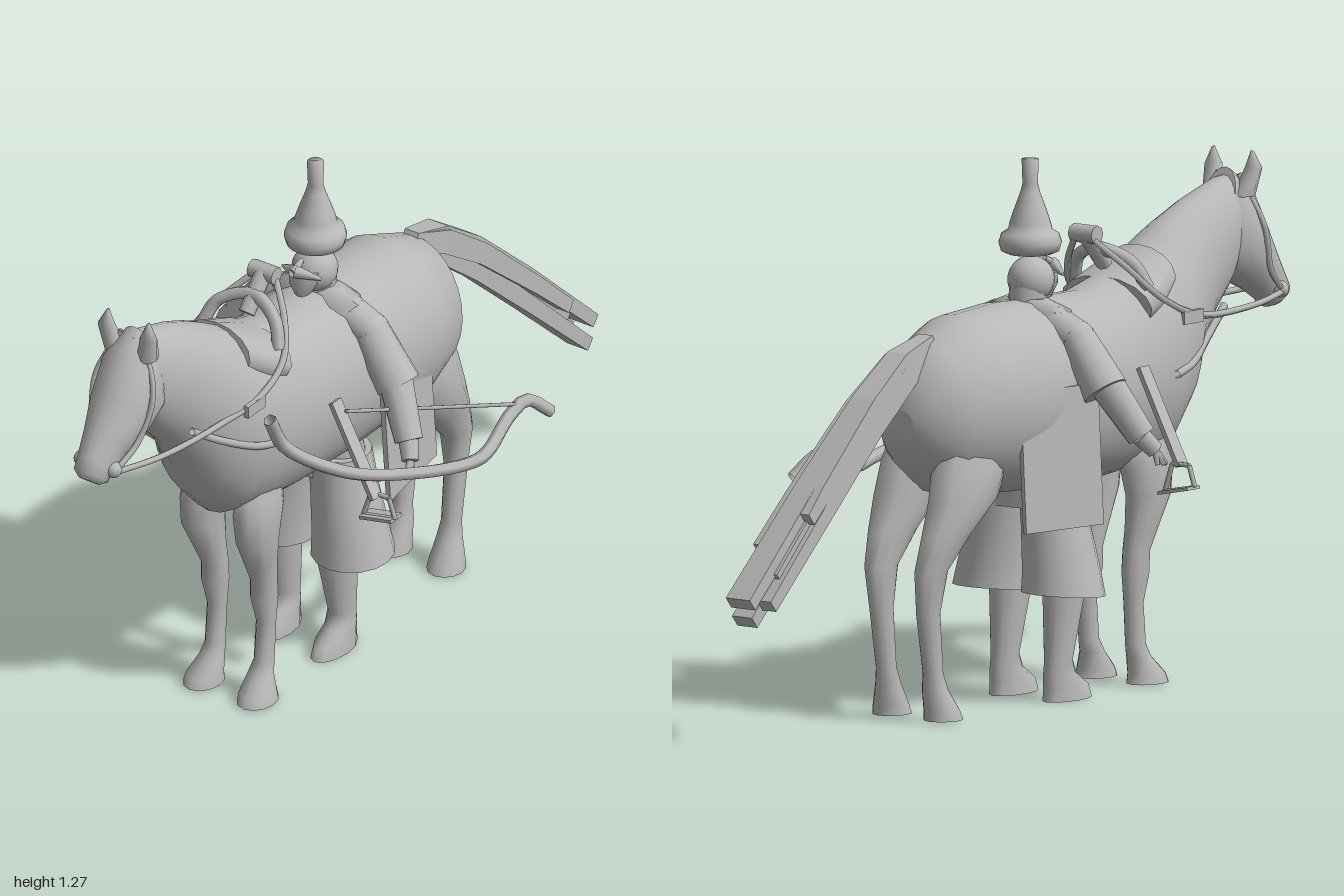
import * as THREE from 'three';

const V = (x, y, z) => new THREE.Vector3(x, y, z);

// Closed skin through cross-sections [z1, y1, z2, y2, halfWidth, x].
function loft(sections, n = 20, flat = false, openEnd = false) {
  const pos = [], idx = [];
  for (const [z1, y1, z2, y2, w, x = 0] of sections) {
    for (let j = 0; j < n; j++) {
      const a = ((j + (n === 4 ? 0.5 : 0)) / n) * Math.PI * 2, k = n === 4 ? Math.SQRT2 : 1;
      const c = Math.cos(a) * k / 2;
      pos.push(x + Math.sin(a) * w * k, (y1 + y2) / 2 + (y1 - y2) * c, (z1 + z2) / 2 + (z1 - z2) * c);
    }
  }
  for (let i = 0; i < sections.length - 1; i++) {
    for (let j = 0; j < n; j++) {
      const a = i * n + j, b = i * n + (j + 1) % n;
      idx.push(a, a + n, b, b, a + n, b + n);
    }
  }
  // End caps
  (openEnd ? [0] : [0, sections.length - 1]).forEach((r) => {
    const base = pos.length / 3;
    pos.push(...pos.slice(r * n * 3, (r + 1) * n * 3));
    for (let j = 1; j < n - 1; j++) {
      if (r === 0) idx.push(base, base + j, base + j + 1);
      else idx.push(base, base + j + 1, base + j);
    }
  });
  let g = new THREE.BufferGeometry();
  g.setAttribute('position', new THREE.Float32BufferAttribute(pos, 3));
  g.setIndex(idx);
  if (flat) g = g.toNonIndexed();
  g.computeVertexNormals();
  return g;
}

// Tapered round bar between two points.
function bar(a, b, ra, rb = ra, n = 12) {
  const d = b.clone().sub(a);
  const g = new THREE.CylinderGeometry(rb, ra, d.length(), n);
  g.applyQuaternion(new THREE.Quaternion().setFromUnitVectors(V(0, 1, 0), d.normalize()));
  const m = a.clone().add(b).multiplyScalar(0.5);
  return g.translate(m.x, m.y, m.z);
}

const tube = (pts, r) =>
  new THREE.TubeGeometry(new THREE.CatmullRomCurve3(pts.map((p) => V(...p))), 40, r, 6);

export function createModel() {
  const model = new THREE.Group();
  model.position.x = -0.02;
  const grey = new THREE.MeshStandardMaterial({ color: 0xb8b8b8, side: THREE.DoubleSide });
  grey.name = 'plain grey';
  const add = (name, g) => {
    const m = new THREE.Mesh(g, grey);
    m.name = name;
    model.add(m);
    return m;
  };

  // Horse body and neck, rump to poll
  add('horseBody', loft([
    [-0.395, 0.73, -0.39, 0.66, 0.03], [-0.38, 0.81, -0.365, 0.59, 0.09], [-0.32, 0.885, -0.3, 0.53, 0.145],
    [-0.2, 0.935, -0.2, 0.51, 0.18], [-0.05, 0.945, -0.05, 0.5, 0.185], [0.1, 0.94, 0.1, 0.495, 0.18],
    [0.25, 0.94, 0.28, 0.495, 0.165], [0.36, 0.97, 0.41, 0.505, 0.155], [0.44, 1.0, 0.495, 0.53, 0.148],
    [0.515, 1.045, 0.57, 0.61, 0.13], [0.57, 1.075, 0.605, 0.69, 0.108],
    [0.65, 1.11, 0.68, 0.8, 0.085], [0.76, 1.145, 0.75, 0.87, 0.07], [0.81, 1.15, 0.79, 0.93, 0.055],
  ], 28));
  add('horseHead', loft([
    [0.79, 1.165, 0.72, 1.0, 0.05], [0.845, 1.125, 0.74, 0.925, 0.08], [0.895, 1.035, 0.8, 0.895, 0.077],
    [0.945, 0.96, 0.865, 0.865, 0.055], [0.98, 0.905, 0.905, 0.84, 0.045], [0.998, 0.875, 0.93, 0.82, 0.042],
    [0.99, 0.85, 0.95, 0.82, 0.025],
  ]));

  for (const s of [-1, 1]) {
    // Horse legs and ears
    const leg = (rows) => loft(rows.map(([y, f, b, w, x = 0.07]) => [f, y, b, y, w, s * x]), 12);
    add('frontLeg', leg([
      [0.64, 0.45, 0.34, 0.03, 0.07], [0.56, 0.475, 0.32, 0.045, 0.07], [0.52, 0.483, 0.325, 0.048, 0.076],
      [0.45, 0.475, 0.345, 0.045, 0.078], [0.37, 0.435, 0.345, 0.036, 0.073],
      [0.32, 0.41, 0.34, 0.031], [0.27, 0.41, 0.335, 0.031], [0.2, 0.39, 0.34, 0.023], [0.1, 0.4, 0.345, 0.023],
      [0.07, 0.415, 0.355, 0.03], [0.03, 0.455, 0.355, 0.042, 0.076], [0.008, 0.465, 0.35, 0.045, 0.077],
    ]));
    add('hindLeg', leg([
      [0.72, -0.14, -0.3, 0.05, 0.07], [0.6, -0.13, -0.355, 0.068, 0.076], [0.52, -0.17, -0.375, 0.066, 0.082],
      [0.44, -0.26, -0.405, 0.048, 0.08], [0.36, -0.335, -0.43, 0.034, 0.075], [0.26, -0.355, -0.42, 0.026],
      [0.12, -0.345, -0.395, 0.024], [0.08, -0.33, -0.395, 0.03], [0.03, -0.3, -0.39, 0.042, 0.076],
      [0.008, -0.29, -0.39, 0.045, 0.077],
    ]));
    add('ear', loft([
      [0.82, 1.205, 0.81, 1.205, 0.002, s * 0.058], [0.835, 1.165, 0.8, 1.165, 0.023, s * 0.06],
      [0.83, 1.1, 0.77, 1.1, 0.025, s * 0.045],
    ], 8));

    // Bridle, reins and bit
    add('rein', tube([[s * 0.05, 0.86, 0.94], [s * 0.085, 0.85, 0.8], [s * 0.11, 0.85, 0.6],
      [s * 0.135, 0.875, 0.48], [s * 0.13, 0.925, 0.38], [s * 0.09, 0.99, 0.32], [s * 0.03, 1.055, 0.27]], 0.008));
    add('cheekStrap', tube([[s * 0.03, 1.15, 0.8], [s * 0.082, 1.03, 0.83], [s * 0.07, 0.92, 0.87],
      [s * 0.05, 0.86, 0.94]], 0.007));
    add('bit', new THREE.SphereGeometry(0.02, 10, 8).translate(s * 0.045, 0.865, 0.935));
    add('breastStrap', tube([[s * 0.085, 0.86, 0.68], [s * 0.108, 0.8, 0.59], [s * 0.14, 0.755, 0.5],
      [s * 0.156, 0.735, 0.42]], 0.01));
    const tag = add('strapTag', new THREE.BoxGeometry(0.012, 0.03, 0.07));
    tag.position.set(s * 0.136, 0.86, 0.5);

    // Stirrup leather and stirrup
    const strap = add('stirrupLeather', new THREE.BoxGeometry(0.012, 0.25, 0.035));
    strap.position.set(s * 0.246, 0.665, 0.255);
    strap.rotation.z = s * 0.49;
    const ring = [[0.285, 0.56], [0.335, 0.56], [0.352, 0.51], [0.262, 0.492]].map(([x, y]) => V(s * x, y, 0.245));
    ring.forEach((p, i) => add('stirrup', bar(p, ring[(i + 1) % 4], 0.006, 0.006, 6)));
    const tread = add('stirrupTread', new THREE.BoxGeometry(0.092, 0.008, 0.045));
    tread.position.set(s * 0.307, 0.5, 0.24);
    tread.rotation.z = s * 0.2;

    // Hanging side panel, its rear edge turned in
    const panel = add('sidePanel', new THREE.BoxGeometry(0.012, 0.33, 0.24));
    panel.position.set(s * 0.183, 0.595, -0.04);
    panel.rotation.set(0, s * 0.16, s * 0.06);

    // Rider's boot
    add('boot', loft([
      [0.155, 0.3, 0.035, 0.3, 0.045, s * 0.08], [0.15, 0.24, 0.04, 0.24, 0.045, s * 0.08],
      [0.115, 0.1, 0.04, 0.1, 0.032, s * 0.08], [0.13, 0.065, 0.035, 0.065, 0.033, s * 0.08],
      [0.175, 0.035, 0.035, 0.035, 0.037, s * 0.08], [0.187, 0.004, 0.033, 0.004, 0.039, s * 0.08],
    ], 12));

    // Rider's arm: shoulder, flared sleeve, hand and fingers
    const P = [V(s * 0.08, 0.89, 0.06), V(s * 0.15, 0.86, 0.06), V(s * 0.232, 0.745, 0.065),
      V(s * 0.298, 0.64, 0.115), V(s * 0.32, 0.605, 0.14)];
    add('shoulder', bar(P[0], P[1], 0.045, 0.045));
    add('shoulderCap', new THREE.SphereGeometry(0.045, 14, 10).translate(...P[1].toArray()));
    add('upperSleeve', bar(P[1], P[2], 0.045, 0.054));
    add('foreSleeve', bar(P[2].clone().add(V(-s * 0.015, 0.035, 0)), P[3], 0.043, 0.034));
    add('hand', bar(P[3], P[4], 0.024, 0.02, 8));
    for (const k of [-1, 0, 1]) {
      add('finger', bar(P[4], V(s * (0.333 - 0.006 * Math.abs(k)), 0.572, 0.155 + k * 0.016), 0.009, 0.006, 6));
    }
    add('moustache', bar(V(0, 1.012, 0.155), V(s * 0.055, 0.995, 0.125), 0.016, 0.004, 8));
  }

  // Rider's coat, skirt split in two over the legs
  add('coat', loft([
    [0.09, 0.945, 0.03, 0.945, 0.06], [0.13, 0.92, 0, 0.92, 0.12], [0.15, 0.75, -0.02, 0.75, 0.13],
    [0.14, 0.55, -0.01, 0.55, 0.12], [0.14, 0.46, -0.01, 0.46, 0.14],
  ]));
  for (const s of [-1, 1]) {
    add('coatSkirt', loft([
      [0.14, 0.52, -0.01, 0.52, 0.075, s * 0.065], [0.15, 0.42, -0.015, 0.42, 0.08, s * 0.08],
      [0.16, 0.31, -0.025, 0.31, 0.092, s * 0.098], [0.165, 0.25, -0.03, 0.265, 0.1, s * 0.103],
    ], 16, false, true));
  }

  // Rider's head and pointed helmet
  add('neck', bar(V(0, 0.9, 0.06), V(0, 0.97, 0.065), 0.045));
  add('head', new THREE.SphereGeometry(0.055, 18, 14).translate(0, 0.985, 0.075));
  add('nose', bar(V(0, 1.03, 0.125), V(0, 1.01, 0.16), 0.006, 0.012, 8));
  add('beard', loft([[0.15, 1.0, 0.08, 1.0, 0.04], [0.155, 0.97, 0.08, 0.97, 0.036],
    [0.14, 0.93, 0.1, 0.93, 0.01]], 10));
  const helmet = [[0, 1.045], [0.05, 1.045], [0.068, 1.053], [0.074, 1.073], [0.068, 1.093], [0.052, 1.103],
    [0.048, 1.12], [0.038, 1.15], [0.023, 1.19], [0.018, 1.21], [0.02, 1.268], [0, 1.27]];
  add('helmet', new THREE.LatheGeometry(helmet.map((p) => new THREE.Vector2(...p)), 24)).position.z = 0.072;

  // Saddle front: pad over the withers, arched bow and horn
  add('saddlePad', loft([[0.335, 0.962, 0.37, 0.83, 0.135], [0.4, 0.99, 0.43, 0.85, 0.125],
    [0.465, 1.022, 0.49, 0.89, 0.105]], 16));
  add('saddleArch', tube([[-0.11, 0.94, 0.37], [-0.08, 1.0, 0.345], [0, 1.03, 0.32],
    [0.08, 1.0, 0.345], [0.11, 0.94, 0.37]], 0.016));
  add('saddleHorn', bar(V(0, 0.99, 0.345), V(0, 1.07, 0.275), 0.02, 0.022, 8));
  add('saddleHornCap', bar(V(-0.035, 1.068, 0.275), V(0.035, 1.068, 0.275), 0.022, 0.022, 8));

  // Bow and its string
  add('bow', tube([[0.17, 0.83, 0.49], [0.18, 0.73, 0.435], [0.28, 0.65, 0.33], [0.355, 0.59, 0.15],
    [0.382, 0.545, -0.03], [0.367, 0.535, -0.11], [0.345, 0.565, -0.22], [0.35, 0.58, -0.28], [0.375, 0.53, -0.34]], 0.016));
  add('bowString', bar(V(0.215, 0.755, 0.25), V(0.36, 0.565, -0.3), 0.005, 0.005, 5));

  // Tail: overlapping flat locks [x, shorter by, drop, half width], tip to root
  const locks = [[0, 0, 0, 0.026], [-0.028, 0.05, -0.055, 0.02], [0.03, 0.13, -0.015, 0.02],
    [-0.03, 0.19, 0, 0.018], [0.012, 0.03, -0.075, 0.02], [-0.01, 0.09, -0.035, 0.024]];
  for (const [x, short, dy, w] of locks) {
    add('tailLock', loft([
      [-1 + short, 0.36 + short * 0.95 + dy, -0.98 + short, 0.335 + short * 0.95 + dy, w + 0.01, x],
      [-0.75, 0.6 + dy, -0.73, 0.565 + dy, w + 0.005, x], [-0.55, 0.78 + dy * 0.8, -0.525, 0.735 + dy * 0.8, w, x * 0.8],
      [-0.42, 0.87 + dy * 0.5, -0.39, 0.82 + dy * 0.5, w, x * 0.5], [-0.31, 0.9, -0.29, 0.86, 0.02, 0],
    ], 4, true));
  }
  return model;
}
